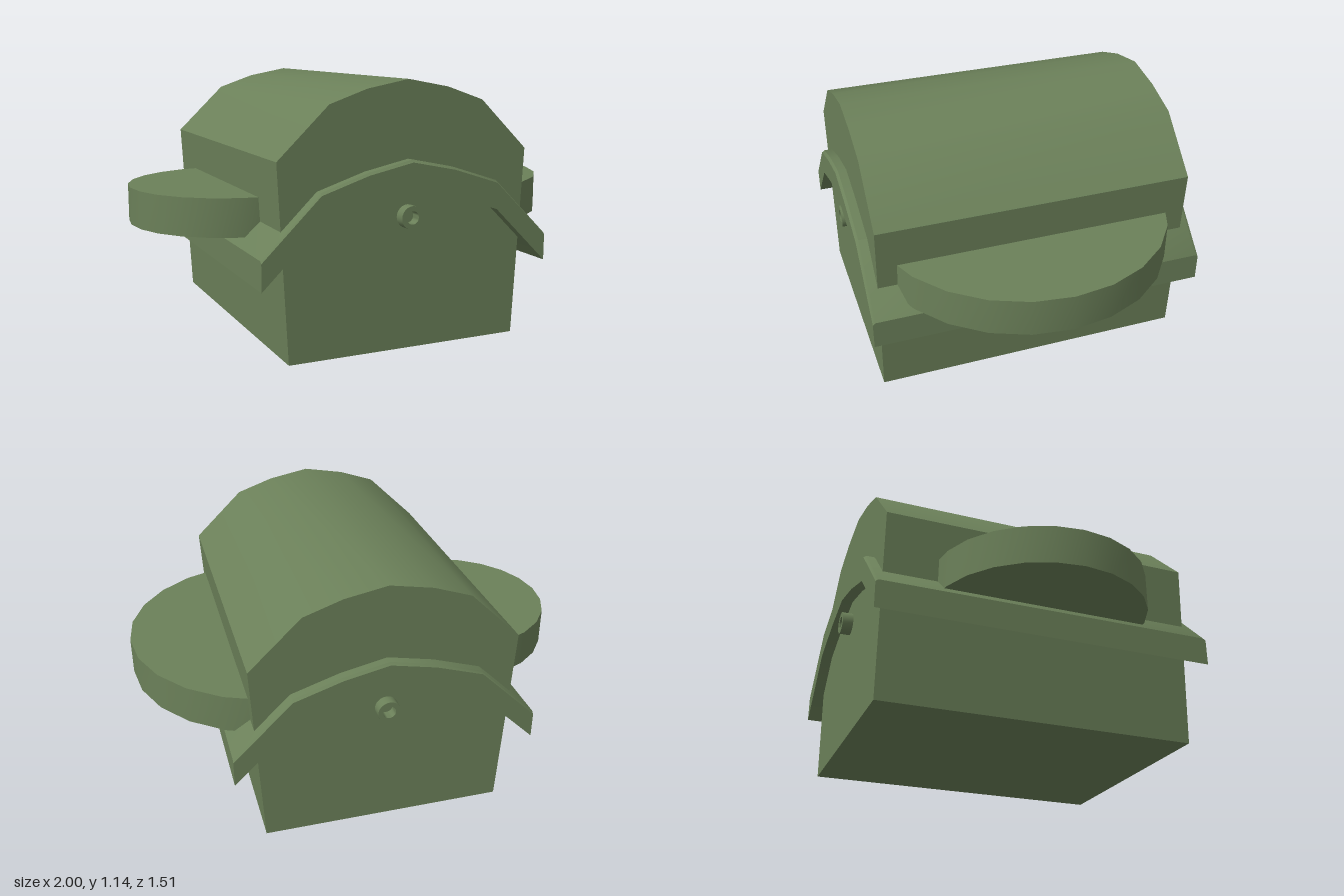
import * as THREE from 'three';
import { toCreasedNormals } from 'three/addons/utils/BufferGeometryUtils.js';

export function createModel() {
  const group = new THREE.Group();
  const material = new THREE.MeshStandardMaterial({ color: 0x6b8059 });

  const add = (name, geometry, x = 0, y = 0, z = 0) => {
    const mesh = new THREE.Mesh(toCreasedNormals(geometry, 0.6), material);
    mesh.name = name;
    mesh.position.set(x, y, z);
    group.add(mesh);
    return mesh;
  };

  // Mirrors a right-hand outline that ends on the centre line
  const mirrored = (half) => [
    ...half,
    ...half.filter(([x]) => x > 0).reverse().map(([x, y]) => [-x, y]),
  ];
  const extrude = (points, depth, steps = 1) => {
    const shape = new THREE.Shape(points.map(([x, y]) => new THREE.Vector2(x, y)));
    return new THREE.ExtrudeGeometry(shape, { depth, steps, bevelEnabled: false })
      .translate(0, 0, -depth / 2);
  };

  // Tapered body with a faceted domed top
  const bodyHalf = [[0.535, 0], [0.58, 0.83], [0.355, 1.047], [0.187, 1.105], [0, 1.14]];
  add('body', extrude(mirrored(bodyHalf), 1.41));

  // Arched band through the body, its top edge eased at both ends
  const top = mirrored([[0.665, 0.455], [0.41, 0.703], [0.2, 0.771], [0, 0.813]]);
  const thickness = 0.125;
  const bottom = top.map(([x, y]) => [x, y - thickness]).reverse();
  const band = extrude([...top, ...bottom], 1.51, 3);
  const pos = band.attributes.position;
  const topHeight = (x) => {
    const hit = top.find(([px]) => Math.abs(px - x) < 1e-4);
    return hit[1];
  };
  for (let i = 0; i < pos.count; i++) {
    const z = pos.getZ(i);
    if (Math.abs(z) < 0.5) pos.setZ(i, Math.sign(z) * 0.743);
    else if (pos.getY(i) > topHeight(pos.getX(i)) - 0.01) pos.setY(i, pos.getY(i) - 0.01);
  }
  add('archedBand', band);

  // Round side shelves, a large one on the left and a smaller one on the right
  const shelf = (name, radius, x) => {
    const disc = new THREE.CylinderGeometry(radius, radius, 0.166, 24).rotateY(Math.PI / 2);
    add(name, disc, x, 0.572, 0);
  };
  shelf('leftShelf', 0.668, 0.332);
  shelf('rightShelf', 0.473, -0.527);

  // Small hollow knobs on the front and back
  const ring = [[0.028, 0], [0.05, 0], [0.05, 0.05], [0.028, 0.05], [0.028, 0]]
    .map(([r, y]) => new THREE.Vector2(r, y));
  for (const side of [1, -1]) {
    const knob = new THREE.LatheGeometry(ring, 24).rotateX(side * Math.PI / 2);
    add(side > 0 ? 'frontKnob' : 'backKnob', knob, 0, 0.572, side * 0.703);
  }

  return group;
}
